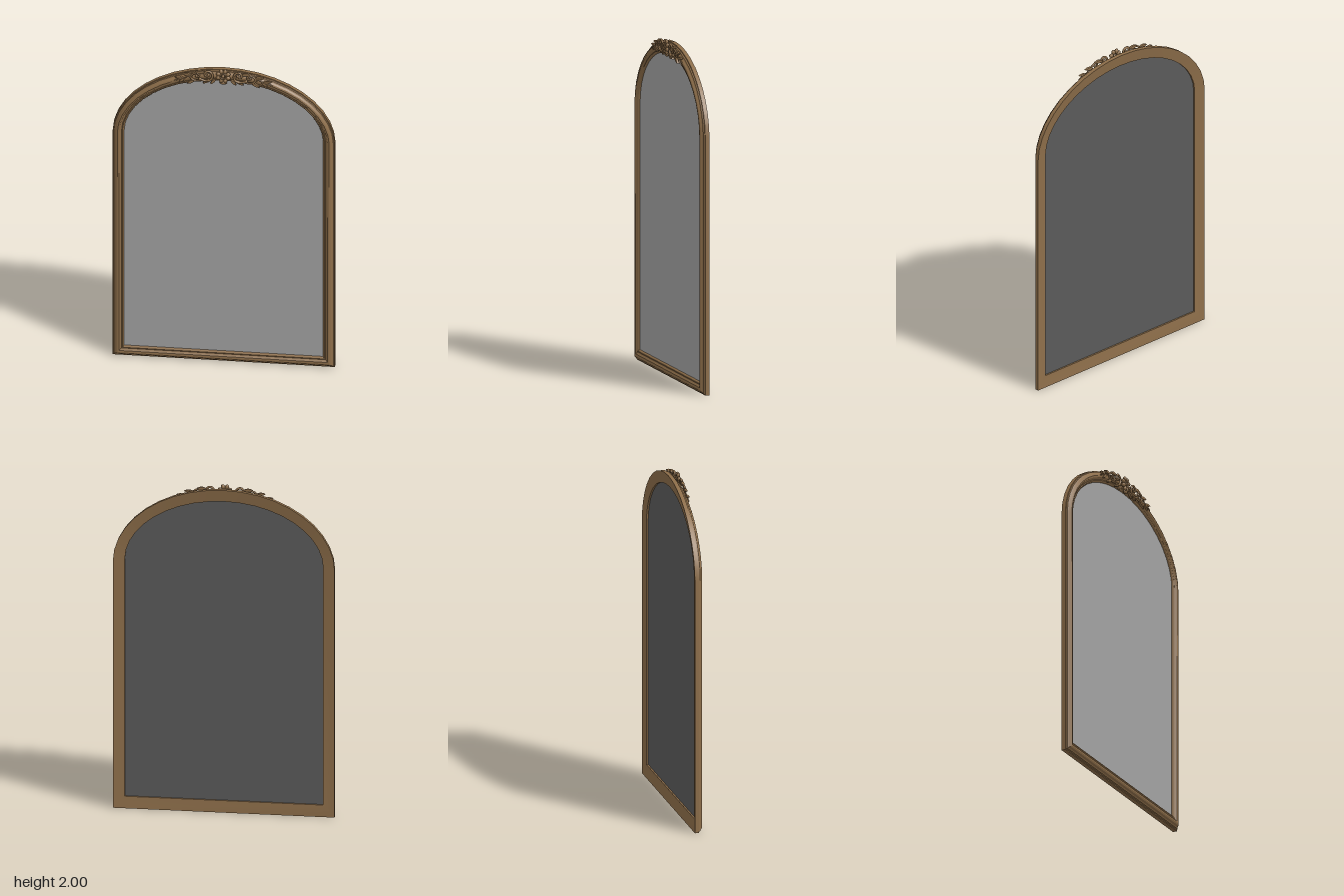
import * as THREE from 'three';
import { toCreasedNormals } from 'three/addons/utils/BufferGeometryUtils.js';

const frameMat = new THREE.MeshStandardMaterial({ name: 'antique gold', color: 0x8c6d49 });
const glassMat = new THREE.MeshStandardMaterial({ name: 'mirror grey', color: 0xa2a2a2 });
const backMat = new THREE.MeshStandardMaterial({ name: 'backing grey', color: 0x5a5a5a });

const ARC = 20;

// Closed outline: two bottom corners, then a half-ellipse arch from right to left.
function outline(halfWidth, bottom, spring, top) {
  const pts = [[-halfWidth, bottom], [halfWidth, bottom]];
  for (let i = 0; i <= ARC; i++) {
    const a = (i / ARC) * Math.PI;
    pts.push([halfWidth * Math.cos(a), spring + (top - spring) * Math.pow(Math.max(Math.sin(a), 0), 1.04)]);
  }
  return pts;
}
const outer = outline(0.65, 0, 1.52, 1.98);
const inner = outline(0.582, 0.07, 1.53, 1.908);

// Moulding section: [share of the way from outer to inner edge, z]
const profile = [
  [0, -0.035], [0, -0.01], [0.08, -0.009], [0.12, -0.001], [0.22, 0.003],
  [0.32, 0.012], [0.45, 0.016], [0.6, 0.014], [0.7, 0.007], [0.78, 0.004],
  [0.86, 0.006], [0.94, 0.003], [1, -0.005], [1, -0.024],
];

// Sweep the moulding round the closed outline, mitred at the bottom corners.
function mouldingGeometry() {
  const pos = [];
  const at = (i, j) => {
    const o = outer[i % outer.length], n = inner[i % inner.length];
    const [t, z] = profile[j % profile.length];
    return [o[0] + (n[0] - o[0]) * t, o[1] + (n[1] - o[1]) * t, z];
  };
  for (let i = 0; i < outer.length; i++) {
    for (let j = 0; j < profile.length; j++) {
      const a = at(i, j), b = at(i + 1, j), c = at(i + 1, j + 1), d = at(i, j + 1);
      pos.push(...a, ...b, ...c, ...a, ...c, ...d);
    }
  }
  const g = new THREE.BufferGeometry();
  g.setAttribute('position', new THREE.Float32BufferAttribute(pos, 3));
  return toCreasedNormals(g, 0.3);
}

function add(parent, name, geometry, material) {
  const m = new THREE.Mesh(geometry, material);
  m.name = name;
  parent.add(m);
  return m;
}

// Flattened bead or petal
function bead(parent, name, x, y, z, rx, ry, rz, turn = 0) {
  const m = add(parent, name, new THREE.SphereGeometry(1, 12, 8), frameMat);
  m.position.set(x, y, z);
  m.scale.set(rx, ry, rz);
  m.rotation.z = turn;
}

// Pointed leaf with a soft bevel
function leaf(parent, x, y, length, width, turn) {
  const s = new THREE.Shape();
  s.moveTo(0, 0);
  s.quadraticCurveTo(length * 0.35, width, length, 0);
  s.quadraticCurveTo(length * 0.45, -width * 0.7, 0, 0);
  const g = new THREE.ExtrudeGeometry(s, {
    depth: 0.008, bevelEnabled: true, bevelSize: 0.003, bevelThickness: 0.004, bevelSegments: 2, curveSegments: 6,
  });
  const m = add(parent, 'leaf', g, frameMat);
  m.position.set(x, y, 0.012);
  m.rotation.z = turn;
}

// Rounded scroll along a few points
function scroll(parent, pts, radius, z) {
  const curve = new THREE.CatmullRomCurve3(pts.map(([x, y]) => new THREE.Vector3(x, y, z)));
  add(parent, 'scroll', new THREE.TubeGeometry(curve, 28, radius, 7), frameMat);
  for (const p of [pts[0], pts[pts.length - 1]]) bead(parent, 'scrollTip', p[0], p[1], z, radius * 1.3, radius * 1.3, radius * 1.2);
}

// One half of the carved crest; side is +1 or -1
function crestHalf(side) {
  const g = new THREE.Group();
  g.name = side > 0 ? 'leftCrestCarving' : 'rightCrestCarving';
  const S = pts => pts.map(([x, y]) => [x * side, y]);
  const L = (x, y, len, w, turn) => leaf(g, x * side, y, len, w * side, side > 0 ? turn : Math.PI - turn);
  // main C-scroll beside the flower, and a second one further out
  scroll(g, S([[0.085, 1.955], [0.098, 1.945], [0.108, 1.96], [0.095, 1.978], [0.072, 1.972],
    [0.062, 1.948], [0.075, 1.922], [0.105, 1.914], [0.135, 1.925]]), 0.007, 0.021);
  scroll(g, S([[0.158, 1.943], [0.148, 1.936], [0.14, 1.948], [0.152, 1.962], [0.175, 1.956],
    [0.19, 1.937], [0.178, 1.917], [0.15, 1.912], [0.12, 1.918]]), 0.006, 0.02);
  // trailing stem and leaves along the arch
  scroll(g, S([[0.185, 1.93], [0.21, 1.934], [0.235, 1.918], [0.26, 1.914], [0.282, 1.903]]), 0.004, 0.017);
  L(0.11, 1.965, 0.05, 0.016, 0.1);
  L(0.185, 1.945, 0.05, 0.014, 0.1);
  L(0.165, 1.913, 0.05, 0.014, -0.5);
  L(0.225, 1.922, 0.04, 0.012, -0.7);
  L(0.235, 1.922, 0.045, 0.01, 0.1);
  L(0.075, 1.918, 0.045, 0.012, -0.45);
  L(0.045, 1.925, 0.04, 0.014, -0.8);
  return g;
}

// Central flower of the crest
function crestFlower() {
  const g = new THREE.Group();
  g.name = 'crestFlower';
  for (let i = 0; i < 8; i++) {
    const a = (i / 8) * Math.PI * 2 + Math.PI / 8;
    bead(g, 'petal', 0.03 * Math.cos(a), 1.953 + 0.032 * Math.sin(a), 0.022, 0.015, 0.0125, 0.011, a);
  }
  const ring = add(g, 'flowerRing', new THREE.TorusGeometry(0.017, 0.005, 8, 20), frameMat);
  ring.position.set(0, 1.953, 0.026);
  bead(g, 'flowerCentre', 0, 1.953, 0.025, 0.01, 0.01, 0.01);
  bead(g, 'flowerDrop', 0, 1.906, 0.018, 0.022, 0.011, 0.01);
  return g;
}

export function createModel() {
  const model = new THREE.Group();
  model.name = 'archedMirror';
  add(model, 'frame', mouldingGeometry(), frameMat);

  // Glass in front, backing panel behind it
  const shape = new THREE.Shape(inner.map(([x, y]) => new THREE.Vector2(x, y)));
  add(model, 'glass', new THREE.ShapeGeometry(shape), glassMat).position.z = -0.006;
  const back = add(model, 'backing', new THREE.ShapeGeometry(shape), backMat);
  back.rotation.y = Math.PI;
  back.position.z = -0.014;

  model.add(crestFlower(), crestHalf(1), crestHalf(-1));
  return model;
}
